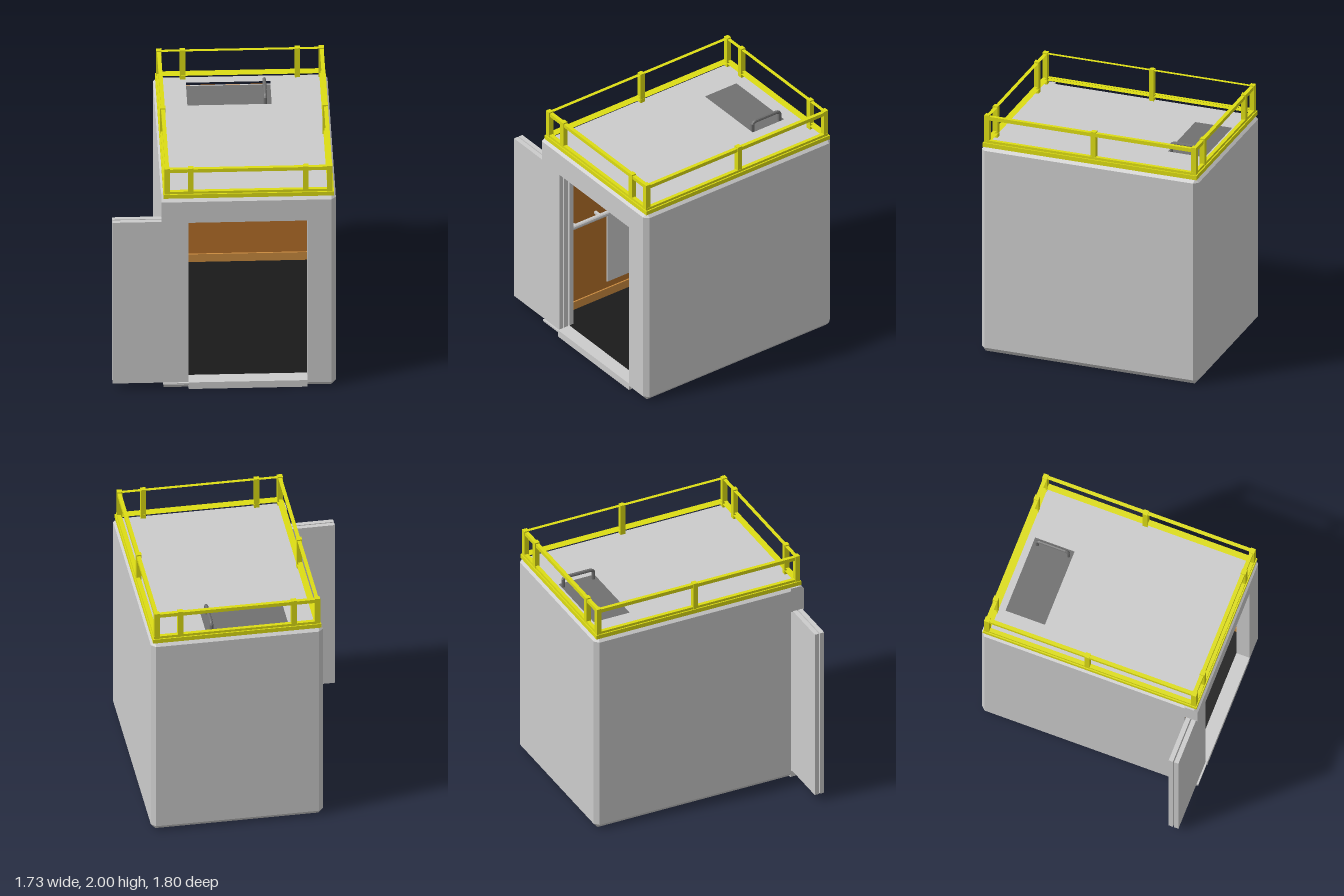
import * as THREE from 'three';

const mat = (color) => new THREE.MeshStandardMaterial({ color, flatShading: true });
const GREY = mat(0xcccccc), YELLOW = mat(0xdddd14), BROWN = mat(0xb67029);
const TRIM = mat(0xcb8b3f), BLACK = mat(0x1a1a1a), DARK = mat(0x707070);

// Outer limits of the cabin
const X0 = -0.485, X1 = 0.865, Z = 0.9, TOP = 1.735, C = 0.035;
// Door opening
const DX0 = -0.275, DX1 = 0.645, DY0 = 0.06, DY1 = 1.52, DZ = 0.79;

export function createModel() {
  const model = new THREE.Group();

  const add = (name, geo, material, parent = model) => {
    const mesh = new THREE.Mesh(geo, material);
    mesh.name = name;
    parent.add(mesh);
    return mesh;
  };
  // Box given by its limits on each axis
  const box = (name, [x0, x1], [y0, y1], [z0, z1], material, parent) => {
    const geo = new THREE.BoxGeometry(x1 - x0, y1 - y0, z1 - z0);
    geo.translate((x0 + x1) / 2, (y0 + y1) / 2, (z0 + z1) / 2);
    return add(name, geo, material, parent);
  };
  const group = (name) => {
    const g = new THREE.Group();
    g.name = name;
    model.add(g);
    return g;
  };
  const rect = (x0, x1, z0, z1) => [[x0, -z0], [x1, -z0], [x1, -z1], [x0, -z1]].map((p) => new THREE.Vector2(...p));
  // Horizontal plate with a rectangular hole
  const plate = (name, outer, hole, y, height, material, parent) => {
    const shape = new THREE.Shape(rect(...outer));
    shape.holes.push(new THREE.Path(rect(...hole)));
    const geo = new THREE.ExtrudeGeometry(shape, { depth: height, bevelEnabled: false });
    geo.rotateX(-Math.PI / 2).translate(0, y, 0);
    return add(name, geo, material, parent);
  };
  // Profile of [z, y] points drawn out along x
  const alongX = (name, profile, x0, x1, parent) => {
    const shape = new THREE.Shape(profile.map(([z, y]) => new THREE.Vector2(-z, y)));
    const geo = new THREE.ExtrudeGeometry(shape, { depth: x1 - x0, bevelEnabled: false });
    geo.rotateY(Math.PI / 2).translate(x0, 0, 0);
    return add(name, geo, GREY, parent);
  };

  // Chamfered outer skin: back and both sides
  const body = group('cabinBody');
  const path = [[X0, DZ], [X0, -Z + C], [X0 + C, -Z], [X1 - C, -Z], [X1, -Z + C], [X1, Z - C], [X1 - C, Z]];
  const rings = [[0, C], [0.04, 0], [TOP - 0.025, 0], [TOP, 0.03]].map(([y, inset]) =>
    path.map(([x, z]) => [
      THREE.MathUtils.clamp(x, X0 + inset, X1 - inset), y,
      THREE.MathUtils.clamp(z, -Z + inset, Z - inset)]));
  const pos = [];
  for (let j = 0; j < rings.length - 1; j++) {
    for (let i = 0; i < path.length - 1; i++) {
      const a = rings[j][i], b = rings[j][i + 1], c = rings[j + 1][i + 1], d = rings[j + 1][i];
      pos.push(...a, ...d, ...c, ...a, ...c, ...b);
    }
  }
  const skin = new THREE.BufferGeometry();
  skin.setAttribute('position', new THREE.Float32BufferAttribute(pos, 3));
  skin.computeVertexNormals();
  add('outerWalls', skin, GREY, body);

  // Front wall: header, right jamb, sill and the set-back wall behind the door
  const topEdge = [[Z, TOP - 0.025], [Z - 0.03, TOP], [DZ, TOP]];
  const footEdge = [[DZ, 0], [Z - C, 0], [Z, 0.04]];
  alongX('header', [[DZ, DY1], [Z, DY1], ...topEdge], X0, DX1, body);
  alongX('doorJamb', [...footEdge, ...topEdge], DX1, X1 - C, body);
  alongX('sillUnderDoor', [...footEdge, [Z, 0.055], [DZ, 0.055]], X0 + 0.015, DX0, body);
  box('sill', [DX0, DX1], [0, DY0], [DZ, Z], GREY, body);
  box('doorPocketWall', [X0, DX0], [0.04, DY1], [DZ - 0.04, DZ], GREY, body);
  box('underside', [X0 + C, X1 - C], [0, 0.03], [-Z + C, Z - C], DARK, body);

  // Roof with hatch recess
  const hatch = [-0.235, 0.42, -0.79, -0.46];
  plate('roof', [X0 + 0.03, X1 - 0.03, -Z + 0.03, Z - 0.03], hatch, TOP - 0.05, 0.05, GREY, body);
  box('roofHatch', [-0.235, 0.42], [TOP - 0.06, TOP - 0.03], [-0.79, -0.46], DARK);
  const handlePath = new THREE.CurvePath();
  const hp = [[1.7, -0.755], [1.775, -0.755], [1.79, -0.735], [1.79, -0.515], [1.775, -0.495], [1.7, -0.495]]
    .map(([y, z]) => new THREE.Vector3(0.37, y, z));
  for (let i = 0; i < hp.length - 1; i++) handlePath.add(new THREE.LineCurve3(hp[i], hp[i + 1]));
  add('hatchHandle', new THREE.TubeGeometry(handlePath, 40, 0.014, 8), DARK);

  // Interior lining
  const inside = group('interior');
  const L = X0 + 0.045, R = X1 - 0.045, B = -Z + 0.045;
  box('floor', [L, R], [0.03, DY0], [B, DZ], BLACK, inside);
  box('ceiling', [L, R], [1.64, 1.67], [B, DZ], GREY, inside);
  box('backLining', [L, R], [DY0, 1.66], [B - 0.02, B], BROWN, inside);
  box('backSkirting', [L, R], [DY0, 0.13], [B, B + 0.012], TRIM, inside);
  for (const [side, x, s] of [['right', L, 1], ['left', R, -1]]) {
    const span = (a, b) => [x + s * a, x + s * b].sort((p, q) => p - q);
    box(side + 'Lining', span(-0.02, 0), [DY0, 1.66], [B, DZ], BROWN, inside);
    box(side + 'Skirting', span(0, 0.012), [DY0, 0.13], [B, DZ], TRIM, inside);
  }
  box('mirror', [L, L + 0.01], [0.19, 1.6], [-0.35, 0.31], GREY, inside);

  // Handrail round the walls, interrupted at the mirror
  const bar = (name, x, z, length, turn) => {
    const geo = new THREE.CylinderGeometry(0.021, 0.021, length, 12).rotateZ(Math.PI / 2);
    if (turn) geo.rotateY(Math.PI / 2);
    add(name, geo.translate(x, 0.88, z), GREY, inside);
  };
  bar('backHandrail', (L + R) / 2, B + 0.07, R - L - 0.14, false);
  bar('leftHandrail', R - 0.07, -0.03, 1.52, true);
  bar('rightFrontHandrail', L + 0.07, 0.54, 0.38, true);
  bar('rightBackHandrail', L + 0.07, -0.585, 0.4, true);
  for (const z of [0.42, 0.66, -0.45, -0.7]) {
    box('handrailBracket', [L, L + 0.07], [0.87, 0.89], [z - 0.01, z + 0.01], GREY, inside);
    box('handrailBracket', [R - 0.07, R], [0.87, 0.89], [z - 0.01, z + 0.01], GREY, inside);
  }

  // Sliding door of two leaves, slid open
  const door = group('slidingDoor');
  for (const z of [0.805, 0.85]) box('doorLeaf', [-0.865, DX0], [0.055, 1.525], [z, z + 0.036], GREY, door);

  // Roof guard rail
  const guard = group('guardRail');
  const ring = (name, i, w, y, h) => plate(name,
    [X0 + i, X1 - i, -Z + i, Z - i], [X0 + i + w, X1 - i - w, -Z + i + w, Z - i - w], y, h, YELLOW, guard);
  ring('baseFrame', 0.015, 0.05, TOP, 0.035);
  ring('baseLip', 0.025, 0.03, TOP + 0.035, 0.02);
  ring('topRail', 0.03, 0.03, 1.96, 0.03);
  const post = (x, z) => box('post', [x - 0.021, x + 0.021], [TOP, 2], [z - 0.02, z + 0.02], YELLOW, guard);
  for (const z of [-0.857, 0.857]) for (const x of [-0.442, -0.258, 0.632, 0.817]) post(x, z);
  for (const x of [-0.442, 0.817]) post(x, -0.025);

  return model;
}
